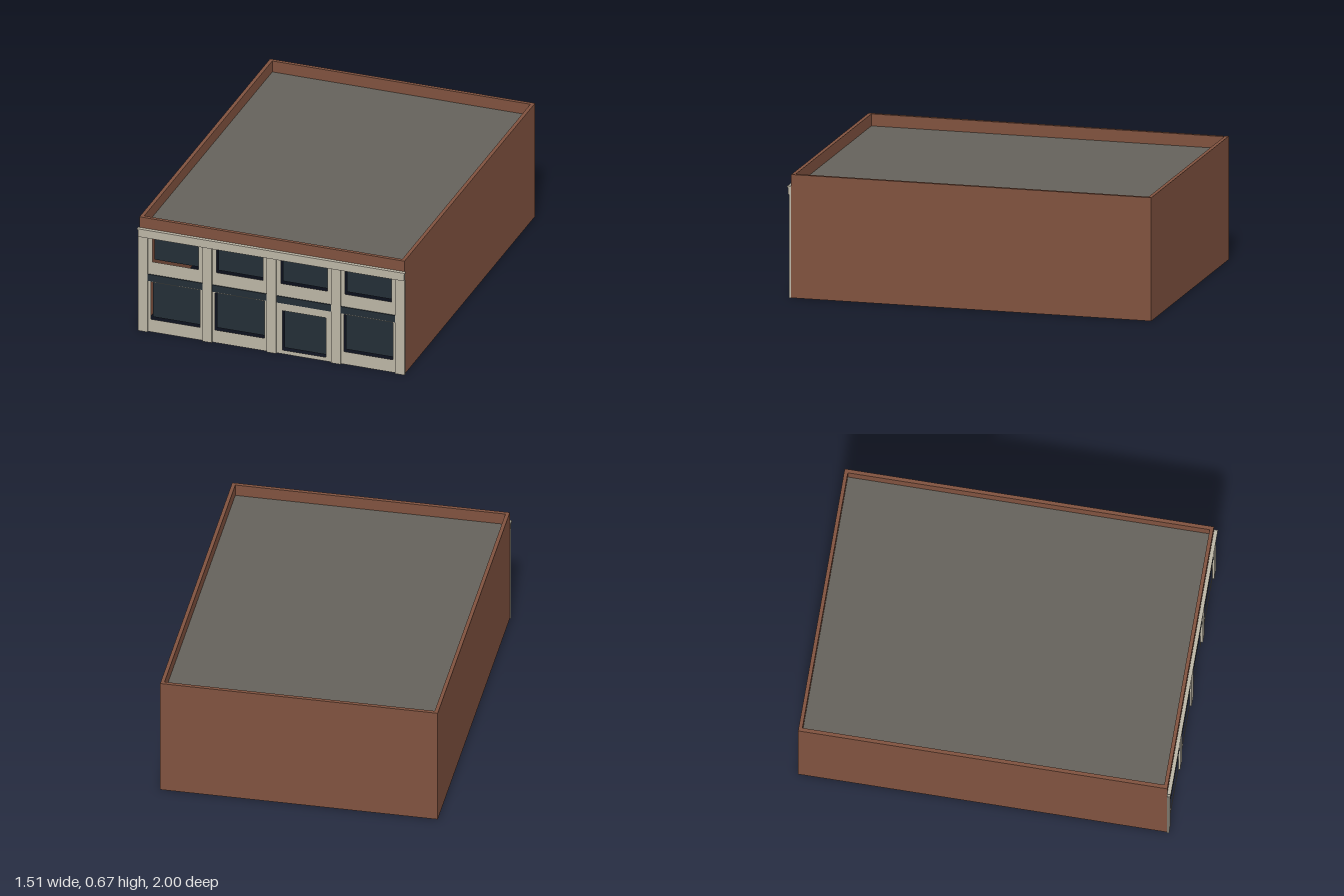
import * as THREE from 'three';

export function createModel() {
  const material = (name, color, side = THREE.FrontSide) => {
    const m = new THREE.MeshStandardMaterial({ color, side });
    m.name = name;
    return m;
  };
  const brick = material('brick', 0x80523f, THREE.DoubleSide);
  const stone = material('stone', 0xbcb6a6, THREE.DoubleSide);
  const glass = material('dark glass', 0x242e37, THREE.DoubleSide);
  const roofing = material('roofing', 0x65625b, THREE.DoubleSide);

  const building = new THREE.Group();
  building.name = 'building';

  const add = (name, geometry, mat, x = 0, y = 0, z = 0) => {
    const mesh = new THREE.Mesh(geometry, mat);
    mesh.name = name;
    mesh.position.set(x, y, z);
    building.add(mesh);
    return mesh;
  };
  // Box given by its lower and upper corners
  const box = (name, mat, x0, x1, y0, y1, z0, z1) =>
    add(name, new THREE.BoxGeometry(x1 - x0, y1 - y0, z1 - z0), mat,
      (x0 + x1) / 2, (y0 + y1) / 2, (z0 + z1) / 2);

  const W = 0.748, back = -1, front = 0.98, roofY = 0.605, top = 0.67, rim = 0.02;
  const depth = front - back, midZ = (front + back) / 2;

  // Thin shell walls, open underneath
  for (const side of [-1, 1]) {
    const wall = add(side > 0 ? 'leftWall' : 'rightWall',
      new THREE.PlaneGeometry(depth, roofY), brick, side * W, roofY / 2, midZ);
    wall.rotation.y = side * Math.PI / 2;
  }
  add('backWall', new THREE.PlaneGeometry(2 * W, roofY), brick, 0, roofY / 2, back)
    .rotation.y = Math.PI;

  // Flat roof inside a brick parapet
  add('roof', new THREE.PlaneGeometry(2 * W - 0.002, depth - 0.002), roofing, 0, roofY, midZ)
    .rotation.x = -Math.PI / 2;
  box('backParapet', brick, -W, W, roofY, top, back, back + rim);
  box('frontParapet', brick, -W, W, roofY, top, front - rim, front);
  box('leftParapet', brick, W - rim, W, roofY, top, back + rim, front - rim);
  box('rightParapet', brick, -W, -W + rim, roofY, top, back + rim, front - rim);

  // Four bays: the third from the viewer's left holds the door
  const bay = 0.363, pilasterW = 0.053;
  const openings = [];
  for (let i = 0; i < 4; i++) {
    const cx = (i - 1.5) * bay;
    openings.push({ name: 'upperWindow', cx, w: 0.262, y0: 0.416, y1: 0.56 });
    openings.push(i === 2
      ? { name: 'door', cx, w: 0.246, y0: 0.023, y1: 0.256 }
      : { name: 'shopWindow', cx, w: 0.278, y0: 0.075, y1: 0.295 });
    // Dark band between the floors
    const half = (bay - pilasterW) / 2;
    box('signBand', glass, cx - half, cx + half, 0.301, 0.341, front, front + 0.005);
  }

  // Facade sheet with openings, and glass set behind it
  const facade = new THREE.Shape([
    new THREE.Vector2(-W, 0), new THREE.Vector2(W, 0),
    new THREE.Vector2(W, roofY), new THREE.Vector2(-W, roofY),
  ]);
  for (const { name, cx, w, y0, y1 } of openings) {
    const x0 = cx - w / 2, x1 = cx + w / 2;
    facade.holes.push(new THREE.Path([
      new THREE.Vector2(x0, y0), new THREE.Vector2(x0, y1),
      new THREE.Vector2(x1, y1), new THREE.Vector2(x1, y0),
    ]));
    add(name, new THREE.PlaneGeometry(w, y1 - y0), glass, cx, (y0 + y1) / 2, front - 0.03);
  }
  add('facade', new THREE.ShapeGeometry(facade), stone, 0, 0, front);

  // Pilasters
  for (let i = -2; i <= 2; i++) {
    box('pilaster', stone, i * bay - pilasterW / 2, i * bay + pilasterW / 2, 0, 0.56, front, 0.99);
  }

  // Cornice with a thin cap
  box('cornice', stone, -0.751, 0.751, 0.56, 0.6, front, 0.997);
  box('corniceCap', stone, -0.755, 0.755, 0.6, 0.608, front, 1);

  return building;
}
